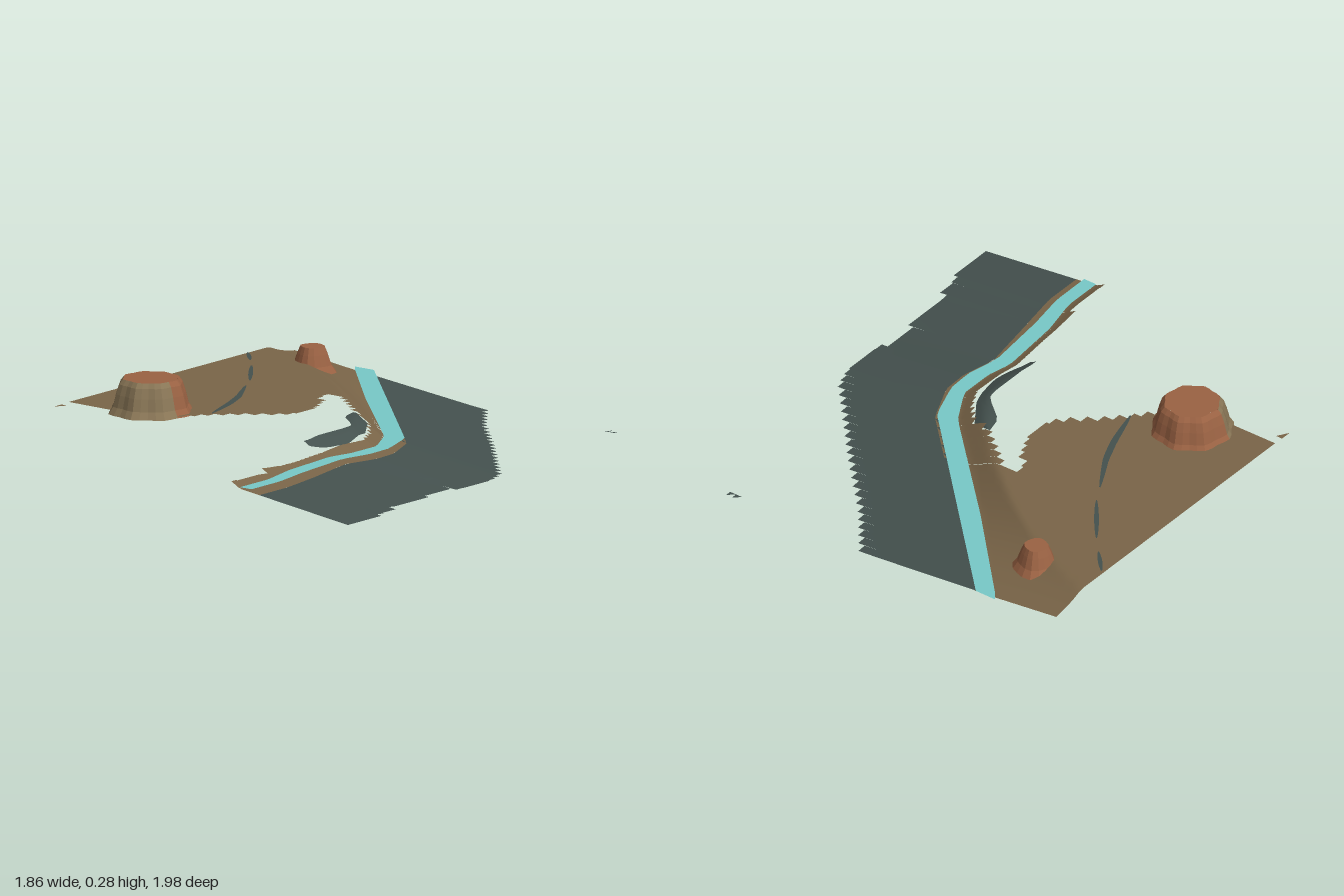
import * as THREE from 'three';
import { mergeVertices } from 'three/addons/utils/BufferGeometryUtils.js';

const paint = (name, color) => {
  const m = new THREE.MeshStandardMaterial({ color, side: THREE.DoubleSide });
  m.name = name;
  return m;
};

// Edge lines: x at a given z, interpolated through a few [z, x] points
const line = (pts) => (z) => {
  if (z <= pts[0][0]) return pts[0][1];
  for (let i = 1; i < pts.length; i++) {
    const [z0, x0] = pts[i - 1], [z1, x1] = pts[i];
    if (z <= z1) return x0 + (x1 - x0) * (z - z0) / (z1 - z0);
  }
  return pts[pts.length - 1][1];
};

const streamLeft = line([[-1, -0.65], [-0.96, -0.625], [-0.55, -0.235], [-0.08, 0.24], [0.08, 0.33],
  [0.24, 0.33], [0.35, 0.305], [0.64, 0.33], [0.82, 0.37], [1, 0.37]]);
const streamRight = line([[-1, -0.56], [-0.1, 0.33], [0.08, 0.395], [0.2, 0.4], [0.35, 0.37],
  [0.64, 0.4], [0.82, 0.43], [1, 0.43]]);
const bankRight = line([[-0.96, -0.52], [-0.1, 0.34], [0.08, 0.42], [0.2, 0.425], [0.35, 0.39],
  [0.64, 0.44], [0.82, 0.47], [1, 0.47]]);
const bankLeft = line([[-0.3, -0.16], [-0.13, 0.05], [-0.1, 0.14], [0, 0.23], [0.1, 0.28], [0.35, 0.27],
  [0.55, 0.29], [0.77, 0.3], [0.78, 0.33], [0.98, 0.33], [1, 0.31]]);
const outerEdge = line([[-0.96, 0.05], [-0.73, 0.23], [-0.47, 0.48], [-0.08, 0.83], [0.02, 0.865], [0.21, 0.865],
  [0.23, 0.835], [0.4, 0.835], [0.42, 0.86], [0.64, 0.86], [0.66, 0.895], [0.76, 0.895], [0.78, 0.925], [1, 0.925]]);
const plateauEdge = line([[-0.3, -0.23], [-0.24, -0.22], [-0.2, -0.17], [-0.07, -0.11], [0.05, -0.11],
  [0.1, -0.15], [0.2, -0.27], [0.28, -0.35], [0.37, -0.42], [0.48, -0.57]]);

// Land height: slopes to zero right of the stream, climbs to a plateau on its left
const WATER = 0.07;
function height(x, z) {
  const s = streamLeft(z), o = outerEdge(z);
  if (x > s) return Math.max(0, WATER * (o - x) / (o - s));
  const slope = 0.12 + 0.43 * THREE.MathUtils.smoothstep(z, -0.96, -0.2);
  return Math.min(WATER + slope * (s - x), 0.142 + 0.008 * Math.max(0, -x));
}

// Surface between two edge lines; stepped edges are held constant along each row
function ribbon({ from, to, rows, cols = 1, left, right, y, stepLeft, stepRight, skip }) {
  const pos = [];
  for (let r = 0; r < rows; r++) {
    const z0 = from + (to - from) * r / rows, z1 = from + (to - from) * (r + 1) / rows;
    const mid = (z0 + z1) / 2;
    const at = (c, z) => {
      const l = left(stepLeft ? mid : z), e = right(stepRight ? mid : z);
      const x = l + (e - l) * c / cols;
      return [x, y(x, z), z];
    };
    for (let c = 0; c < cols; c++) {
      const a = at(c, z0), b = at(c, z1), d = at(c + 1, z1), e = at(c + 1, z0);
      if (skip && skip((a[0] + d[0]) / 2, mid)) continue;
      pos.push(...a, ...b, ...d, ...a, ...d, ...e);
    }
  }
  const g = new THREE.BufferGeometry();
  g.setAttribute('position', new THREE.Float32BufferAttribute(pos, 3));
  const merged = mergeVertices(g, 1e-4);
  merged.computeVertexNormals();
  return merged;
}

// Fluted shell turned around an axis
function flutedShell(profile, start, length, segments, flutes, depth) {
  const pts = profile.map(([r, y]) => new THREE.Vector2(r, y));
  const g = new THREE.LatheGeometry(pts, segments, start, length);
  const p = g.attributes.position;
  for (let i = 0; i < p.count; i++) {
    const k = 1 + depth * Math.sin(flutes * Math.atan2(p.getX(i), p.getZ(i)));
    p.setX(i, p.getX(i) * k);
    p.setZ(i, p.getZ(i) * k);
  }
  const flat = g.toNonIndexed();
  flat.computeVertexNormals();
  return flat;
}

export function createModel() {
  const group = new THREE.Group();
  const earth = paint('brown earth', 0x7a6548);
  const slate = paint('dark slate', 0x44514e);
  const water = paint('turquoise water', 0x78c9c8);
  const clay = paint('red clay', 0x9a6243);
  const sand = paint('tan rock', 0x8a7757);

  const add = (name, geometry, material) => {
    const mesh = new THREE.Mesh(geometry, material);
    mesh.name = name;
    group.add(mesh);
    return mesh;
  };

  // Mesa positions and the openings in the ground beneath them
  const big = [-0.6, 0.365], small = [-0.65, -0.725];
  const underMesa = (x, z) =>
    Math.hypot(x - big[0], z - big[1]) < 0.125 || Math.hypot(x - small[0], z - small[1]) < 0.055;
  const west = () => -0.93;

  // Ground: back slope, plateau and the stream banks
  add('backGround', ribbon({ from: -0.96, to: -0.3, rows: 22, cols: 30, left: west, right: bankRight,
    y: (x, z) => height(x, z) - 0.002, skip: underMesa }), earth);
  add('plateau', ribbon({ from: -0.3, to: 0.48, rows: 18, cols: 22, left: west, right: plateauEdge,
    y: (x, z) => height(x, z) - 0.002, stepRight: true, skip: underMesa }), earth);
  add('streamBanks', ribbon({ from: -0.3, to: 1, rows: 40, cols: 8, left: bankLeft, right: bankRight,
    y: height, stepLeft: true }), earth);

  // Dark slope falling away to the right
  add('outerSlope', ribbon({ from: -0.96, to: 1, rows: 46, cols: 6,
    left: (z) => (z < -0.1 ? streamRight(z) - 0.01 : bankRight(z)),
    right: outerEdge, y: height, stepRight: true }), slate);

  // Stream
  add('stream', ribbon({ from: -0.98, to: 1, rows: 50, left: streamLeft, right: streamRight,
    y: () => WATER + 0.006 }), water);

  // Dark hillside patch beside the bend
  add('hillsidePatch', ribbon({ from: -0.13, to: 0.37, rows: 16, cols: 4,
    left: line([[-0.13, 0.04], [-0.05, 0.06], [0, 0.12], [0.05, 0.18], [0.1, 0.19], [0.37, 0.19]]),
    right: line([[-0.13, 0.06], [-0.1, 0.14], [0.03, 0.23], [0.2, 0.275], [0.3, 0.255], [0.37, 0.22]]),
    y: (x, z) => height(x, z) - 0.006 }), slate);

  // Narrow dark cracks across the plateau
  const crack = line([[-0.65, -0.92], [-0.55, -0.83], [-0.48, -0.765], [-0.27, -0.605], [-0.19, -0.56],
    [-0.02, -0.46], [0.1, -0.41], [0.28, -0.355]]);
  for (const [from, to, w] of [[-0.65, -0.55, 0.012], [-0.48, -0.27, 0.012], [-0.19, 0.28, 0.015]]) {
    const half = (z) => w * Math.sqrt(Math.max(0.05, Math.sin(Math.PI * (z - from) / (to - from))));
    add('crack', ribbon({ from, to, rows: 12, left: (z) => crack(z) - half(z),
      right: (z) => crack(z) + half(z), y: (x, z) => height(x, z) + 0.003 }), slate);
  }

  // Mesas: tan front and clay back on the large one, all clay on the small one
  const mesa = (name, [x, z], profile, top, tanHalf, segments, flutes, depth) => {
    const parts = [
      [`${name}Back`, profile, tanHalf, 2 * Math.PI - 2 * tanHalf, clay],
      [`${name}Top`, [top, [0, top[1]]], 0, 2 * Math.PI, clay],
    ];
    if (tanHalf > 0) parts.push([`${name}Front`, profile, -tanHalf, 2 * tanHalf, sand]);
    for (const [label, prof, start, length, material] of parts) {
      const n = Math.max(4, Math.round(segments * length / (2 * Math.PI)));
      add(label, flutedShell(prof, start, length, n, flutes, depth), material).position.set(x, 0, z);
    }
  };
  mesa('largeMesa', big, [[0.17, 0.135], [0.152, 0.165], [0.14, 0.215], [0.127, 0.255], [0.112, 0.275]],
    [0.112, 0.275], 1.4, 32, 8, 0.04);
  mesa('smallMesa', small, [[0.095, 0.1], [0.075, 0.13], [0.06, 0.175], [0.048, 0.205]],
    [0.048, 0.205], 0, 16, 4, 0.05);

  // Loose slivers of land
  const sliver = (name, x, z, w, d, y, material) => add(name, ribbon({ from: z, to: z + d, rows: 1,
    left: (t) => x + w * 0.9 * (z + d - t) / d * (d < 0.04 ? 1 : 0),
    right: (t) => x + w * (d < 0.04 ? 1 : (z + d - t) / d), y: () => y }), material);
  sliver('sideSliver', -0.93, 0.525, 0.03, 0.05, 0.145, earth);
  for (const x of [0.66, 0.69]) sliver('backSliver', x, -0.975, 0.03, 0.025, 0.003, slate);

  return group;
}
